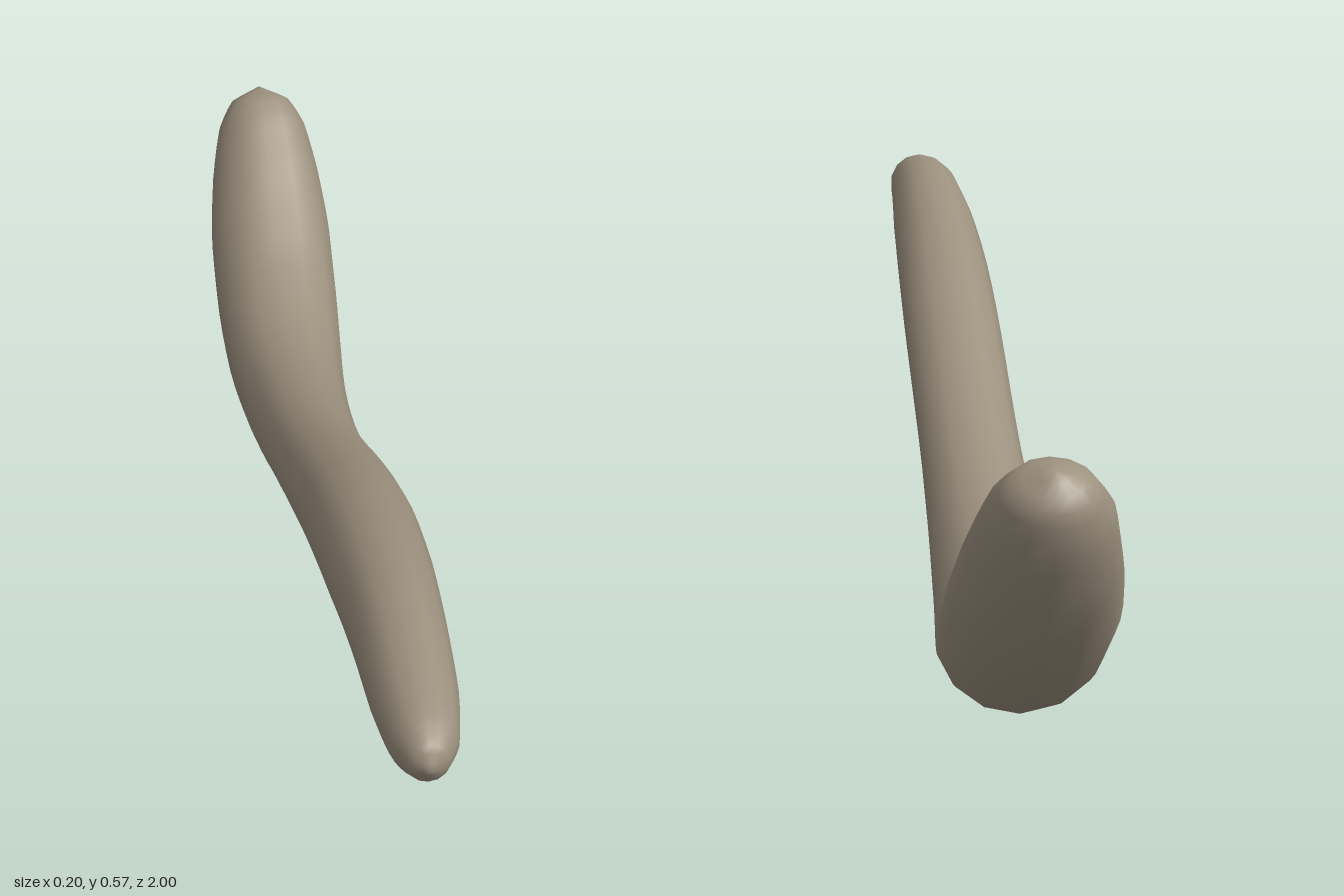
import * as THREE from 'three';

// Stations along the body: z, y, half width, half thickness
const STATIONS = [
  [1.0, 0.522, 0, 0],
  [0.986, 0.522, 0.024, 0.026],
  [0.95, 0.522, 0.041, 0.042],
  [0.88, 0.524, 0.051, 0.05],
  [0.75, 0.517, 0.058, 0.06],
  [0.6, 0.488, 0.066, 0.065],
  [0.4, 0.428, 0.072, 0.066],
  [0.2, 0.343, 0.074, 0.061],
  [0.0, 0.248, 0.073, 0.061],
  [-0.2, 0.162, 0.076, 0.069],
  [-0.4, 0.104, 0.085, 0.08],
  [-0.55, 0.093, 0.096, 0.09],
  [-0.68, 0.127, 0.103, 0.095],
  [-0.79, 0.192, 0.104, 0.092],
  [-0.88, 0.272, 0.093, 0.082],
  [-0.935, 0.335, 0.076, 0.066],
  [-0.963, 0.373, 0.05, 0.045],
  [-0.976, 0.394, 0, 0],
];
const SIDES = 14;
const STEPS = (STATIONS.length - 1) * 3;

// Smooth loft of elliptical rings, closed by a single pole at each end
function loftBody() {
  const path = new THREE.CatmullRomCurve3(STATIONS.map(([z, y]) => new THREE.Vector3(0, y, z)));
  const size = new THREE.CatmullRomCurve3(STATIONS.map(([, , w, t]) => new THREE.Vector3(w, t, 0)));
  const pos = [];
  const index = [];
  const first = path.getPoint(0);
  const last = path.getPoint(1);
  pos.push(first.x, first.y, first.z);
  for (let i = 1; i < STEPS; i++) {
    const u = i / STEPS;
    const c = path.getPoint(u);
    const d = path.getTangent(u);
    const s = size.getPoint(u);
    for (let j = 0; j < SIDES; j++) {
      const a = (j / SIDES) * Math.PI * 2 - Math.PI / 2;
      const up = s.y * Math.sin(a);
      pos.push(s.x * Math.cos(a), c.y - d.z * up, c.z + d.y * up);
    }
  }
  pos.push(last.x, last.y, last.z);

  const rings = STEPS - 1;
  const end = 1 + rings * SIDES;
  const at = (i, j) => 1 + i * SIDES + (j % SIDES);
  for (let j = 0; j < SIDES; j++) {
    index.push(0, at(0, j), at(0, j + 1));
    for (let i = 0; i < rings - 1; i++) {
      index.push(at(i, j), at(i + 1, j), at(i, j + 1));
      index.push(at(i + 1, j), at(i + 1, j + 1), at(i, j + 1));
    }
    index.push(at(rings - 1, j), end, at(rings - 1, j + 1));
  }
  const geo = new THREE.BufferGeometry();
  geo.setAttribute('position', new THREE.Float32BufferAttribute(pos, 3));
  geo.setIndex(index);
  geo.computeVertexNormals();
  return geo;
}

export function createModel() {
  const group = new THREE.Group();
  group.name = 'curvedHandle';
  const taupe = new THREE.MeshStandardMaterial({ color: 0x9c907e });
  taupe.name = 'taupe';
  const body = new THREE.Mesh(loftBody(), taupe);
  body.name = 'body';
  group.add(body);
  return group;
}
